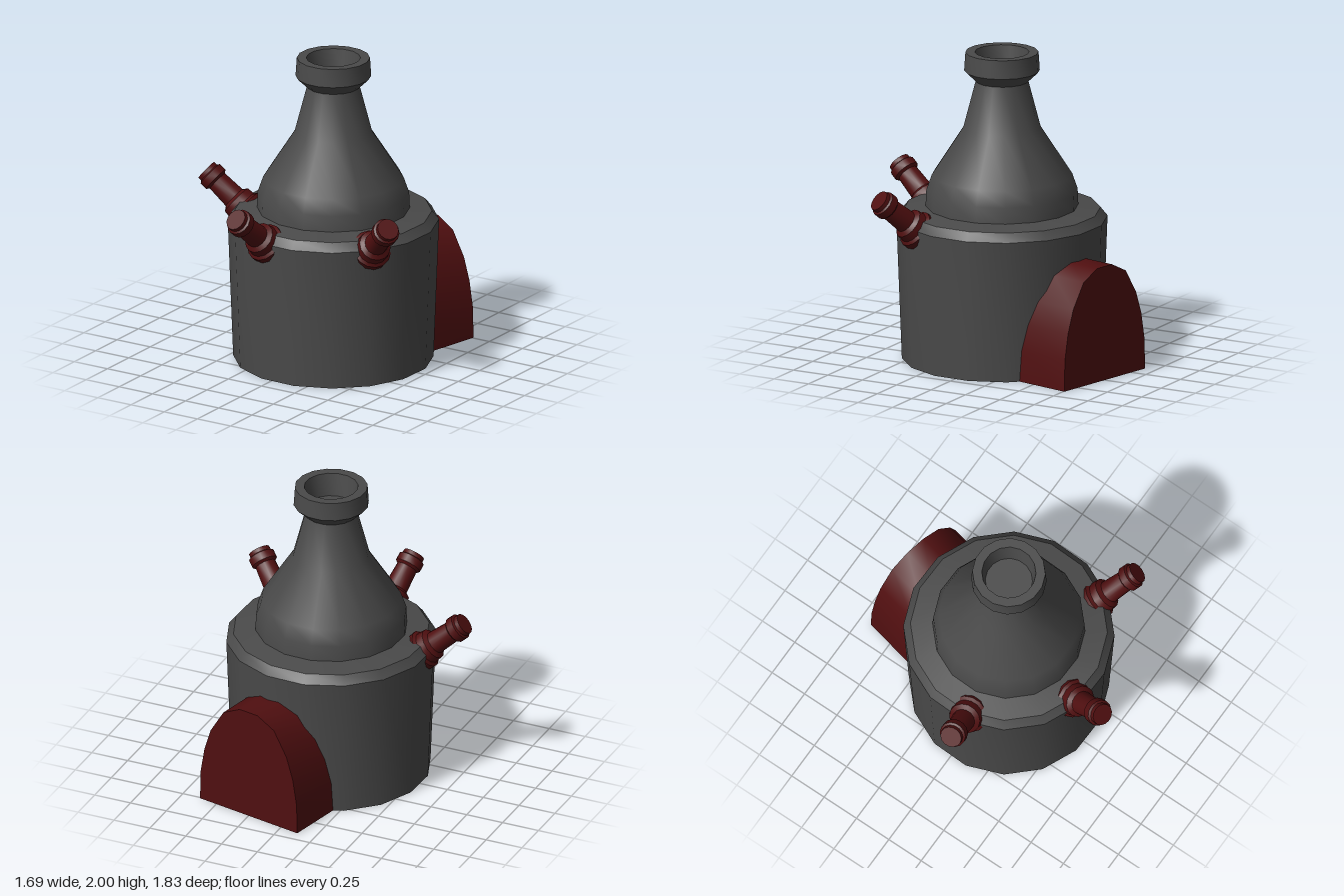
import * as THREE from 'three';
import { toCreasedNormals } from 'three/addons/utils/BufferGeometryUtils.js';

const CX = 0.065, CZ = 0.01; // axis of the round body
const SIDES = 16, TWIST = Math.PI / SIDES - 0.03;

function material(name, color) {
  const m = new THREE.MeshStandardMaterial({ color, side: THREE.DoubleSide });
  m.name = name;
  return m;
}

// Revolved part with smooth sides and sharp steps
function lathe(name, profile, sides, mat, phase = 0) {
  const pts = profile.map(([r, y]) => new THREE.Vector2(r, y));
  const geo = toCreasedNormals(new THREE.LatheGeometry(pts, sides, phase), 0.6);
  const mesh = new THREE.Mesh(geo, mat);
  mesh.name = name;
  return mesh;
}

// Arched porch: back wall plus a vault whose inner end follows the round body
function porchGeometry() {
  const half = [[0.385, 0], [0.38, 0.2], [0.35, 0.37], [0.3, 0.52], [0.2, 0.68], [0.07, 0.745]];
  const profile = [...half, ...half.map(([u, y]) => [-u, y]).reverse()];
  const back = 0.87;
  const pos = [], idx = [];
  for (const [u, y] of profile) {
    const bodyRadius = 0.622 + 0.035 * y / 0.92;
    pos.push(u, y, back, u, y, Math.sqrt(bodyRadius ** 2 - u * u));
  }
  const n = profile.length;
  for (let i = 0; i < n - 1; i++) {
    const a = i * 2;
    idx.push(a, a + 2, a + 1, a + 1, a + 2, a + 3);
  }
  for (let i = 1; i < n - 1; i++) idx.push(0, i * 2, i * 2 + 2);
  // Outward order: vault faces away from the centre, wall faces +z
  for (let i = 0; i < (n - 1) * 6; i += 3) [idx[i + 1], idx[i + 2]] = [idx[i + 2], idx[i + 1]];
  const geo = new THREE.BufferGeometry();
  geo.setAttribute('position', new THREE.Float32BufferAttribute(pos, 3));
  geo.setIndex(idx);
  return toCreasedNormals(geo, 0.7);
}

export function createModel() {
  const grey = material('dark grey', 0x4a4a4a);
  const red = material('dark red', 0x500f10);
  const model = new THREE.Group();
  model.name = 'kiln';

  // Everything is arranged around the body axis
  const core = new THREE.Group();
  core.name = 'kilnCore';
  core.position.set(CX, 0, CZ);
  model.add(core);

  // Drum, open underneath, with a bevelled shoulder
  core.add(lathe('drum', [[0.635, 0], [0.67, 0.92], [0.625, 0.975], [0.46, 1.0]], SIDES, grey, TWIST));

  // Bottle-shaped chimney with a flared lip and a hollow mouth
  core.add(lathe('chimney', [
    [0.485, 0.985], [0.48, 1.1], [0.445, 1.2], [0.245, 1.51], [0.167, 1.81],
    [0.24, 1.88], [0.232, 2.0], [0.172, 2.0], [0.15, 1.85], [0, 1.85],
  ], SIDES, grey, TWIST));

  // Arched porch at the back
  const porch = new THREE.Mesh(porchGeometry(), red);
  porch.name = 'archedPorch';
  porch.rotation.y = Math.PI - Math.atan2(0.212, 0.977);
  core.add(porch);

  // Three angled pipes around the shoulder
  const pipeProfile = [
    [0, -0.06], [0.1, -0.05], [0.125, -0.01], [0.127, 0.035], [0.108, 0.05], [0.103, 0.1],
    [0.075, 0.12], [0.068, 0.27], [0.086, 0.285], [0.086, 0.335], [0.072, 0.343], [0.07, 0.37], [0, 0.37],
  ];
  const tilt = THREE.MathUtils.degToRad(40);
  [170, 102.3, 33.8].forEach((deg, i) => {
    const a = THREE.MathUtils.degToRad(deg);
    const pipe = lathe('pipe' + (i + 1), pipeProfile, 14, red);
    const dir = new THREE.Vector3(Math.cos(a) * Math.cos(tilt), Math.sin(tilt), Math.sin(a) * Math.cos(tilt));
    pipe.quaternion.setFromUnitVectors(new THREE.Vector3(0, 1, 0), dir);
    pipe.position.set(Math.cos(a) * 0.59, 0.89, Math.sin(a) * 0.59);
    core.add(pipe);
  });

  return model;
}
